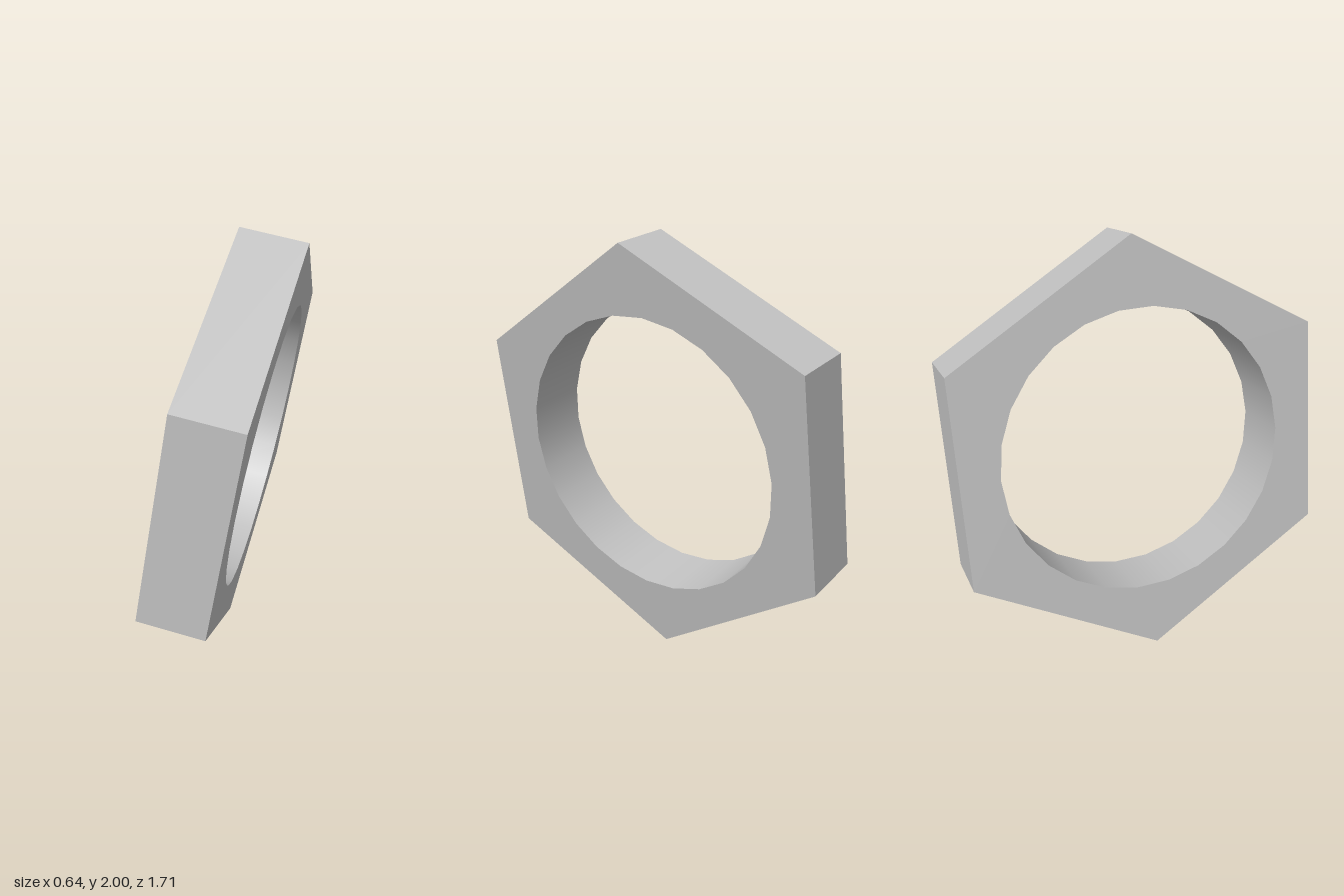
import * as THREE from 'three';

const OUTER = 0.9885, BORE = 0.675, THICK = 0.305, TILT = -Math.PI / 18;

// Corners of a regular polygon
function ring(radius, sides, start) {
  return Array.from({ length: sides }, (_, i) => {
    const a = start + (i / sides) * Math.PI * 2;
    return new THREE.Vector2(radius * Math.cos(a), radius * Math.sin(a));
  });
}

export function createModel() {
  const group = new THREE.Group();
  group.name = 'hexNut';
  const steel = new THREE.MeshStandardMaterial({ color: 0xc0c0c0 });
  steel.name = 'steel grey';

  // Hexagonal plate with a round bore
  const shape = new THREE.Shape(ring(OUTER, 6, Math.PI / 2));
  shape.holes.push(new THREE.Path(ring(BORE, 26, 0)));
  const geo = new THREE.ExtrudeGeometry(shape, { depth: THICK, bevelEnabled: false });
  geo.translate(0, 0, -THICK / 2);

  // Smooth normals on the bore wall only
  const p = geo.attributes.position, n = geo.attributes.normal;
  for (let i = 0; i < p.count; i++) {
    const r = Math.hypot(p.getX(i), p.getY(i));
    if (r < BORE + 0.01 && Math.abs(n.getZ(i)) < 0.5) {
      n.setXYZ(i, -p.getX(i) / r, -p.getY(i) / r, 0);
    }
  }

  // Bore axis along x, leaning to the side
  geo.rotateY(Math.PI / 2);
  geo.rotateZ(TILT);
  geo.translate(0, 1, 0);

  const nut = new THREE.Mesh(geo, steel);
  nut.name = 'nutBody';
  group.add(nut);
  return group;
}
